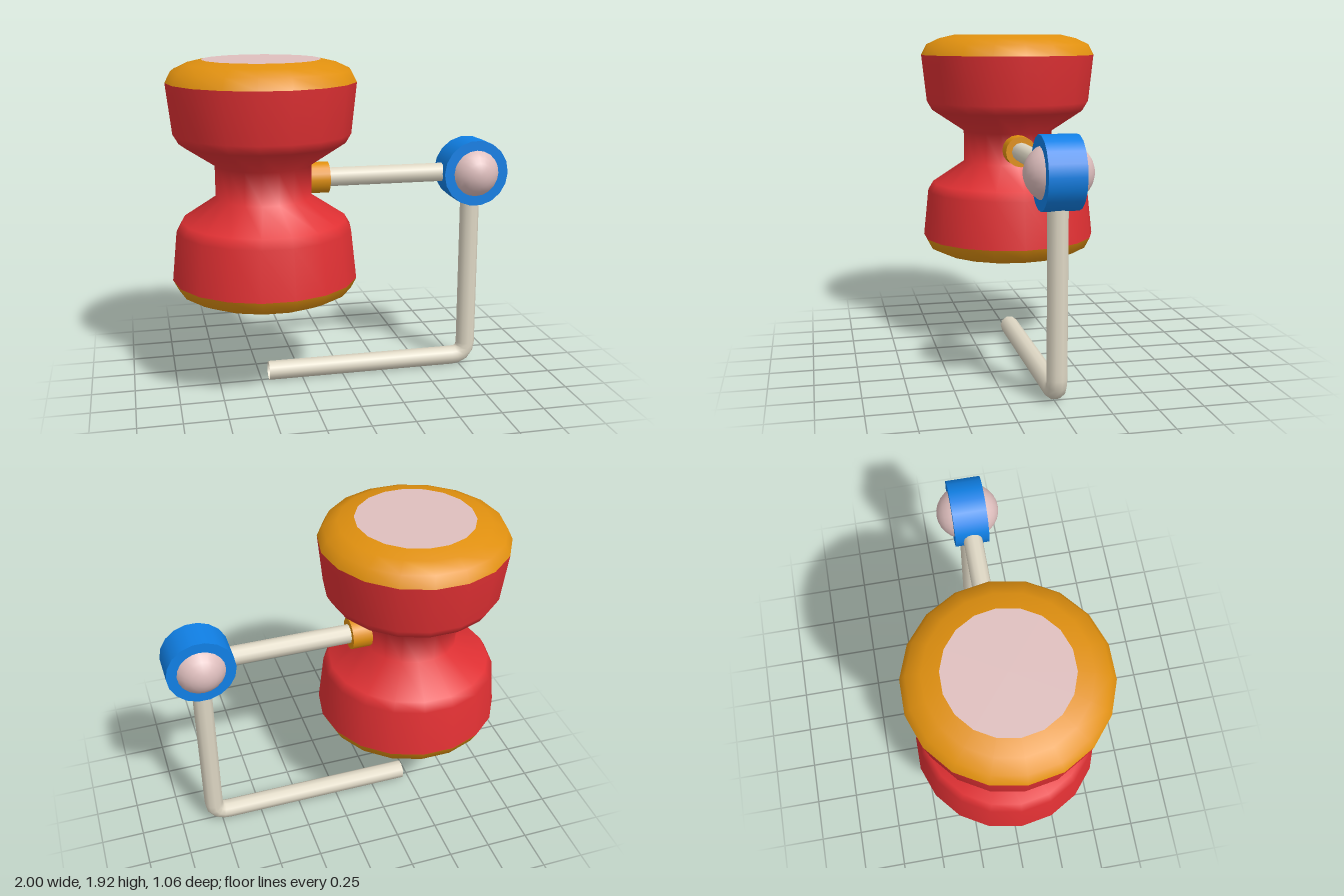
import * as THREE from 'three';

const SIDES = 18;
const DRUM_X = -0.463, MID_Y = 1.236, JOINT_X = 0.797, ARM_Z = -0.004;

const mat = (name, color, side = THREE.FrontSide) => {
  const m = new THREE.MeshStandardMaterial({ color, side });
  m.name = name;
  return m;
};

export function createModel() {
  const red = mat('red', 0xe03033);
  const orange = mat('orange', 0xe0900f);
  const pink = mat('pale pink', 0xdfbfbe);
  const blue = mat('blue', 0x1080e6);
  const cream = mat('cream', 0xded7c4, THREE.DoubleSide);

  const model = new THREE.Group();
  model.name = 'crankToy';
  const add = (parent, name, geometry, material, x = 0, y = 0, z = 0) => {
    const mesh = new THREE.Mesh(geometry, material);
    mesh.name = name;
    mesh.position.set(x, y, z);
    parent.add(mesh);
    return mesh;
  };
  // Lathe with a corner pointing along x
  const lathe = (pts) => new THREE.LatheGeometry(
    pts.map(([r, y]) => new THREE.Vector2(r, y)), SIDES, Math.PI / 2);

  // Waisted drum: profile is mirrored about its middle
  const drum = new THREE.Group();
  drum.name = 'drum';
  drum.position.set(DRUM_X, MID_Y, 0);
  model.add(drum);
  const half = [[0.278, 0.095], [0.475, 0.225], [0.507, 0.28], [0.538, 0.567]];
  const lower = half.map(([r, y]) => [r, -y]).reverse();
  add(drum, 'drumBody', lathe([...lower, ...half]), red);

  // Rounded rim and flat disc on both ends
  for (const end of ['top', 'bottom']) {
    const cap = new THREE.Group();
    cap.name = end + 'Cap';
    add(cap, end + 'Rim', lathe([[0.538, 0.567], [0.505, 0.631], [0.425, 0.668], [0.335, 0.689]]), orange);
    const disc = add(cap, end + 'Disc', new THREE.CircleGeometry(0.335, SIDES), pink, 0, 0.689, 0);
    disc.rotation.x = -Math.PI / 2;
    if (end === 'bottom') cap.rotation.x = Math.PI;
    drum.add(cap);
  }

  // Collar and axle joining drum to the pivot
  const collar = add(model, 'collar', new THREE.CylinderGeometry(0.092, 0.092, 0.17, 16), orange, -0.171, MID_Y, ARM_Z);
  collar.rotation.z = Math.PI / 2;
  const axle = add(model, 'axle', new THREE.CylinderGeometry(0.056, 0.056, 0.8, 12), cream, 0.28, MID_Y, ARM_Z);
  axle.rotation.z = Math.PI / 2;

  // Pivot wheel with a ball showing through both faces
  const wheel = add(model, 'pivotWheel', new THREE.CylinderGeometry(0.197, 0.197, 0.2, SIDES), blue, JOINT_X, MID_Y, -0.006);
  wheel.rotation.set(Math.PI / 2, Math.PI / 2, 0);
  const ball = add(model, 'pivotBall', new THREE.SphereGeometry(0.165, 20, 14), pink, JOINT_X, MID_Y, -0.006);
  ball.rotation.x = Math.PI / 2;
  ball.scale.y = 1.12;

  // Bent handle: straight stem, tight corner, long foot
  const v = (x, y) => new THREE.Vector3(x, y, ARM_Z);
  const path = new THREE.CurvePath();
  path.add(new THREE.LineCurve3(v(0.794, 1.15), v(0.794, 0.145)));
  path.add(new THREE.QuadraticBezierCurve3(v(0.794, 0.145), v(0.794, 0.057), v(0.7, 0.057)));
  path.add(new THREE.LineCurve3(v(0.7, 0.057), v(-0.455, 0.057)));
  add(model, 'handle', new THREE.TubeGeometry(path, 64, 0.057, 10, false), cream);

  return model;
}
